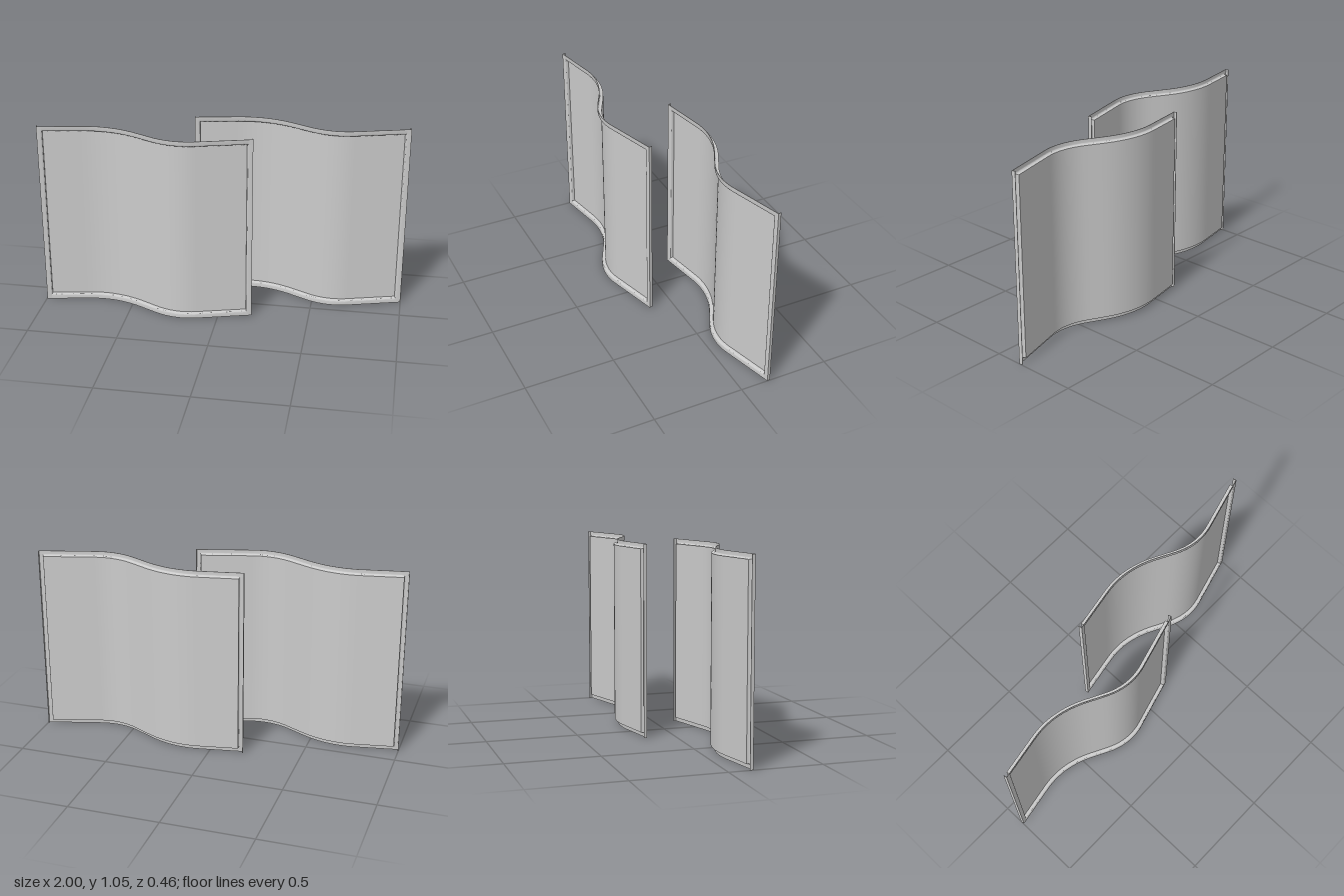
import * as THREE from 'three';
import { toCreasedNormals } from 'three/addons/utils/BufferGeometryUtils.js';

const HEIGHT = 1.05, THICK = 0.003, DEPTH = 0.02;

// Lip profile of the pressed sheet: [distance from the outer edge, depth behind the rim]
const LIP = [[0, 0], [0.021, 0], [0.0245, 0.0007], [0.0275, 0.0028], [0.0293, 0.006], [0.03, 0.01], [0.03, DEPTH]];

const material = new THREE.MeshStandardMaterial({ color: 0xcccccc, side: THREE.DoubleSide });

// Plan of the wave: three straight runs joined by two bends
function wavePath() {
  const p = (x, z) => new THREE.Vector2(x, z);
  const start = p(-0.997, 0.13), trough = p(-0.603, 0.0585), peak = p(-0.234, 0.25), end = p(0.184, 0.133);
  const toward = (a, b, dx) => a.clone().lerp(b, dx / Math.abs(b.x - a.x));
  const a = toward(trough, start, 0.155), b = toward(trough, peak, 0.155);
  const c = toward(peak, trough, 0.125), d = toward(peak, end, 0.125);
  const path = new THREE.CurvePath();
  path.add(new THREE.LineCurve(start, a));
  path.add(new THREE.QuadraticBezierCurve(a, trough, b));
  path.add(new THREE.LineCurve(b, c));
  path.add(new THREE.QuadraticBezierCurve(c, peak, d));
  path.add(new THREE.LineCurve(d, end));
  return path;
}

const path = wavePath();
const LENGTH = path.getLength();

// Point at arc length s and height y, set back from the rim face by depth
function onWave(s, y, depth) {
  const t = THREE.MathUtils.clamp(s / LENGTH, 0, 1);
  const q = path.getPoint(t), tan = path.getTangent(t);
  return [q.x + tan.y * depth, y, q.y - tan.x * depth];
}

// Surface over a grid of nu by nv points
function gridGeometry(nu, nv, point, flip = false) {
  const positions = [], index = [];
  for (let i = 0; i < nu; i++) for (let j = 0; j < nv; j++) positions.push(...point(i, j));
  for (let i = 0; i < nu - 1; i++) {
    for (let j = 0; j < nv - 1; j++) {
      const a = i * nv + j, b = a + nv, c = b + 1, d = a + 1;
      index.push(...(flip ? [a, c, b, a, d, c] : [a, b, c, a, c, d]));
    }
  }
  const g = new THREE.BufferGeometry();
  g.setAttribute('position', new THREE.Float32BufferAttribute(positions, 3));
  g.setIndex(index);
  return toCreasedNormals(g, 0.6);
}

// Lip at both ends of a span, with even steps between
function stations(length, steps, inset) {
  const near = LIP.map(([e, d]) => [Math.max(0, e - inset), d]);
  const far = near.map(([e, d]) => [length - e, d]).reverse();
  const e0 = near[near.length - 1][0], middle = [];
  for (let k = 1; k < steps; k++) middle.push([e0 + (length - 2 * e0) * k / steps, DEPTH]);
  return [...near, ...middle, ...far];
}

// One face of the pressed sheet
function faceGeometry(inset, flip) {
  const cols = stations(LENGTH, 72, inset), rows = stations(HEIGHT, 1, inset);
  return gridGeometry(cols.length, rows.length, (i, j) =>
    onWave(cols[i][0], rows[j][0], Math.min(cols[i][1], rows[j][1]) + inset), flip);
}

function edgeGeometry(y, flip) {
  return gridGeometry(91, 2, (i, j) => onWave(LENGTH * i / 90, y, j * THICK), flip);
}

// Folded return along a vertical end
function flangeGeometry(s0, s1) {
  const loop = [[s0, 0], [s1, 0], [s1, DEPTH - 0.001], [s0, DEPTH - 0.001], [s0, 0]];
  return gridGeometry(5, 2, (i, j) => onWave(loop[i][0], j * HEIGHT, loop[i][1]));
}

function flangeCap(s0, s1, y, flip) {
  return gridGeometry(2, 2, (i, j) => onWave(i ? s1 : s0, y, j * (DEPTH - 0.001)), flip);
}

function createPanel(name) {
  const panel = new THREE.Group();
  panel.name = name;
  const add = (label, geometry) => {
    const mesh = new THREE.Mesh(geometry, material);
    mesh.name = label;
    panel.add(mesh);
  };
  add('sheetFront', faceGeometry(0, false));
  add('sheetBack', faceGeometry(THICK, true));
  add('topEdge', edgeGeometry(HEIGHT, true));
  add('bottomEdge', edgeGeometry(0, false));
  for (const [side, s0, s1] of [['right', 0, THICK], ['left', LENGTH - THICK, LENGTH]]) {
    add(side + 'Flange', flangeGeometry(s0, s1));
    add(side + 'FlangeTop', flangeCap(s0, s1, HEIGHT, true));
    add(side + 'FlangeBottom', flangeCap(s0, s1, 0, false));
  }
  return panel;
}

export function createModel() {
  const model = new THREE.Group();
  model.name = 'wavyPanels';
  const front = createPanel('frontPanel');
  const back = createPanel('backPanel');
  back.position.set(0.816, 0, -0.286);
  model.add(front, back);
  return model;
}
